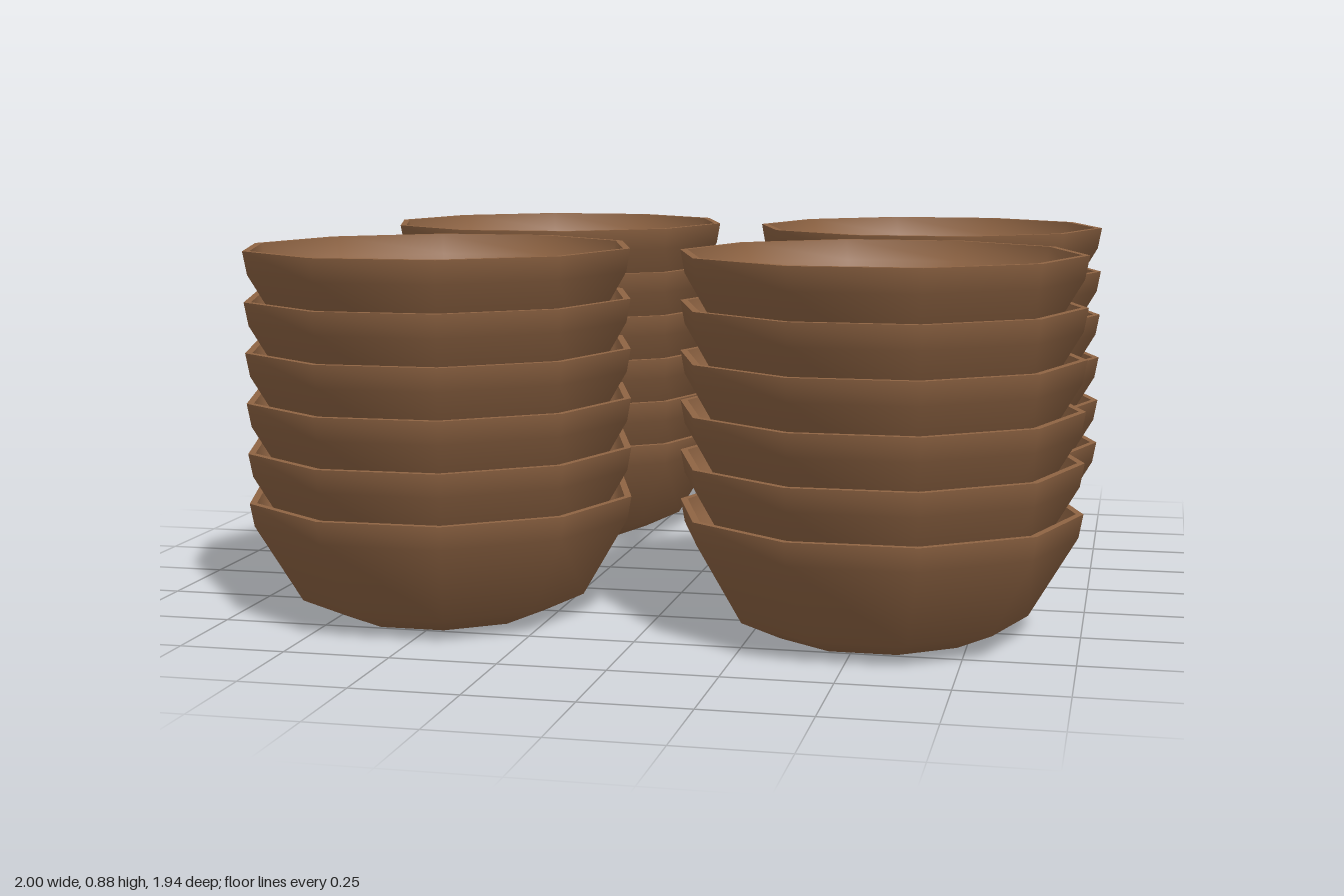
import * as THREE from 'three';
import { mergeGeometries } from 'three/addons/utils/BufferGeometryUtils.js';

const SIDES = 10;
const BOWLS = 6;
const PITCH = 0.118; // height gained by each nested bowl

// Smooth ten-sided surface from [radius, height] points, with a corner on the x axis
function turn(points) {
  const profile = points.map(([r, y]) => new THREE.Vector2(r, y));
  return new THREE.LatheGeometry(profile, SIDES, Math.PI / 2, Math.PI * 2);
}

// Outer wall, flat rim and hollow inside are separate so the rim edges stay sharp
function bowlGeometry() {
  const outside = turn([[0, 0], [0.25, 0.006], [0.35, 0.052], [0.46, 0.24], [0.47, 0.295]]);
  const rim = turn([[0.47, 0.295], [0.453, 0.295]]);
  const inside = turn([[0.453, 0.295], [0.443, 0.245], [0.335, 0.07], [0.24, 0.028], [0, 0.022]]);
  return mergeGeometries([outside, rim, inside]);
}

export function createModel() {
  const model = new THREE.Group();
  model.name = 'bowlStacks';
  const wood = new THREE.MeshStandardMaterial({ color: 0x8f6443 });
  wood.name = 'brown wood';
  const geometry = bowlGeometry();

  // Four stacks in a square
  for (const x of [-0.53, 0.53]) {
    for (const z of [-0.525, 0.525]) {
      const stack = new THREE.Group();
      stack.name = (z > 0 ? 'front' : 'back') + (x > 0 ? 'Left' : 'Right') + 'Stack';
      stack.position.set(x, 0, z);
      for (let i = 0; i < BOWLS; i++) {
        const bowl = new THREE.Mesh(geometry, wood);
        bowl.name = 'bowl' + (i + 1);
        bowl.position.y = i * PITCH;
        stack.add(bowl);
      }
      model.add(stack);
    }
  }
  return model;
}
